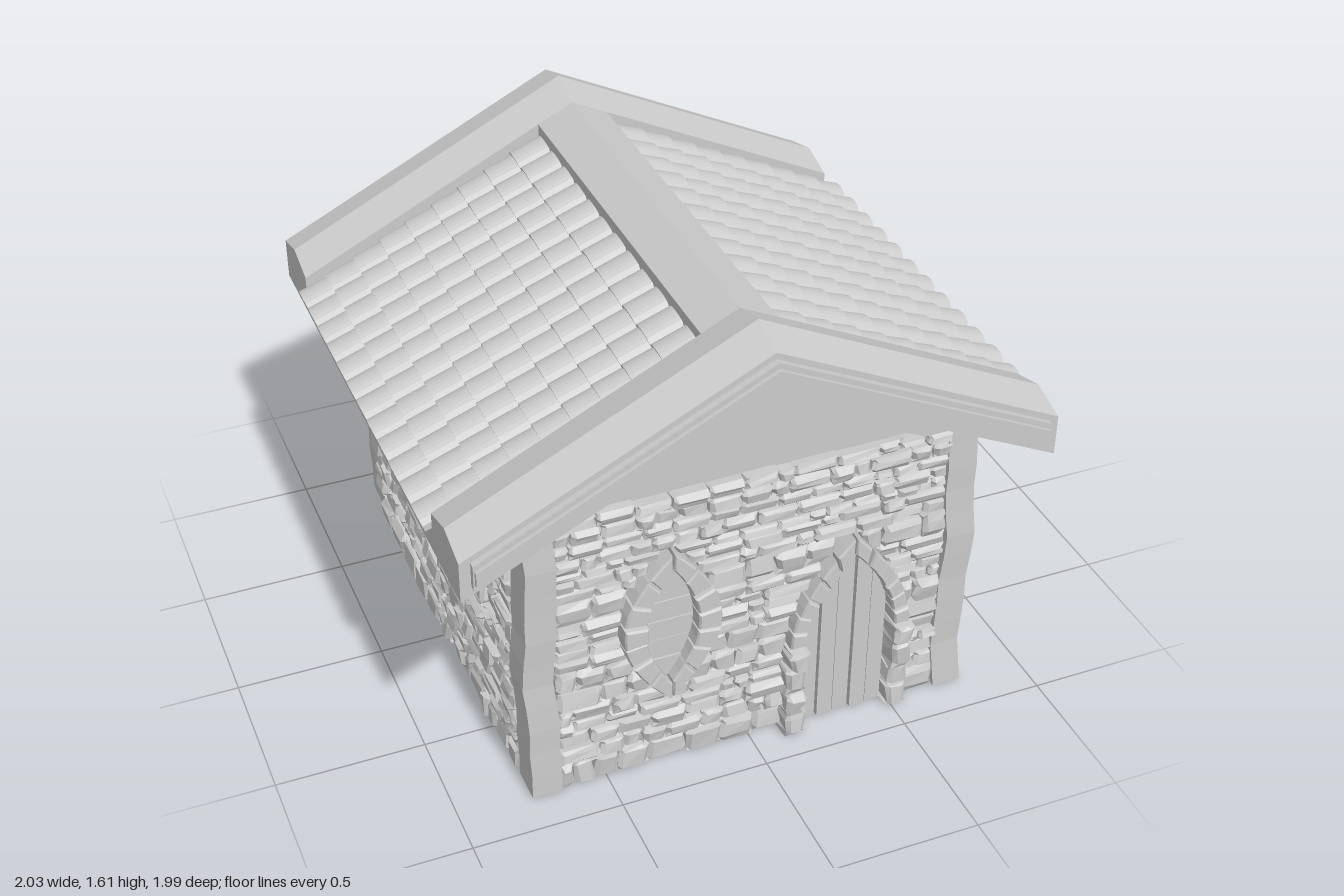
import * as THREE from 'three';
import { mergeGeometries } from 'three/addons/utils/BufferGeometryUtils.js';

const flat = new THREE.MeshStandardMaterial({ color: 0xcccccc, flatShading: true });
const smooth = new THREE.MeshStandardMaterial({ color: 0xcccccc });
const SLOPE = 0.49;

let seed = 7;
const rand = (a = 0, b = 1) => {
  seed = (seed * 16807) % 2147483647;
  return a + (b - a) * (seed / 2147483647);
};

function add(parent, name, geo, mat = flat) {
  const m = new THREE.Mesh(geo, mat);
  m.name = name;
  parent.add(m);
  return m;
}

const poly = pts => new THREE.Shape(pts.map(p => new THREE.Vector2(p[0], p[1])));

function extrude(pts, z0, z1, opts = {}) {
  const g = new THREE.ExtrudeGeometry(poly(pts), { depth: z1 - z0, bevelEnabled: false, ...opts });
  return g.translate(0, 0, z0);
}

// Inverted V band between two heights at the ridge
const chevron = (half, low, high) => [
  [-half, low - SLOPE * half], [0, low], [half, low - SLOPE * half],
  [half, high - SLOPE * half], [0, high], [-half, high - SLOPE * half]];

// Rough block: chamfered front, irregular corners
function stone(x0, x1, y0, y1, z0, z1) {
  const g = new THREE.BoxGeometry(1, 1, 1, 3, 3, 1), p = g.attributes.position;
  const w = x1 - x0, h = y1 - y0, bevel = Math.min(0.014, w * 0.25, h * 0.25);
  const k = rand(0, 50), j = Math.min(0.007, h * 0.1);
  for (let i = 0; i < p.count; i++) {
    const a = p.getX(i), b = p.getY(i), c = p.getZ(i);
    const n = s => Math.sin(a * 17 + b * 29 + c * 11 + k * s);
    const edge = Math.abs(a) > 0.4 || Math.abs(b) > 0.4;
    const place = (t, lo, hi) => Math.abs(t) > 0.4 ? (t < 0 ? lo : hi) : (t < 0 ? lo + bevel : hi - bevel);
    p.setXYZ(i, place(a, x0, x1) + n(3) * j, place(b, y0, y1) + n(5) * j,
      c < 0 ? z0 : z1 - (edge ? 0.013 : 0) + n(7) * 0.004);
  }
  return g;
}

// Coursed masonry from u0 to u1, leaving out the blocked intervals of each row
function masonry(u0, u1, top, zBack, zFace, blocked = () => []) {
  const out = [];
  for (let y = 0.012; y < top - 0.015;) {
    let h = y < 0.02 ? 0.09 : rand(0.034, 0.082);
    if (top - y - h < 0.03) h = top - y;
    let start = u0;
    const holes = blocked(y + h / 2).sort((a, b) => a[0] - b[0]);
    for (const [a, b] of [...holes, [u1, u1]]) {
      for (let x = start; x < a - 0.012;) {
        let w = rand(0.05, 0.15);
        if (a - x - w < 0.04) w = a - x;
        out.push(stone(x + 0.002, x + w - 0.002, y + 0.002, y + h - 0.002, zBack, zFace + rand(-0.014, 0.008)));
        x += w;
      }
      start = Math.max(start, b);
    }
    y += h;
  }
  return mergeGeometries(out);
}

// Pointed-arch edge: point at height fraction s, on side d
const arc = (cx, cy, w, h, s, d) => [cx + d * w * (1 - s * s), cy + h * s];

// Wedge stones between an inner and an outer pointed arch
function voussoirs(cx, cy, inner, outer, s0, n, z0, z1) {
  const out = [];
  for (const d of [-1, 1]) for (let i = 0; i < n; i++) {
    const a = s0 + (1 - s0) * (i + 0.04) / n, b = s0 + (1 - s0) * (i + 0.96) / n;
    const at = (e, s) => arc(cx, cy, e[0], e[1], s, d);
    const pts = [at(inner, a), at(outer, a), at(outer, (a + b) / 2), at(outer, b), at(inner, b), at(inner, (a + b) / 2)];
    out.push(extrude(pts, z0, z1 + rand(-0.008, 0.006),
      { bevelEnabled: true, bevelSegments: 1, bevelSize: 0.005, bevelOffset: -0.006, bevelThickness: 0.008 }));
  }
  return mergeGeometries(out);
}

function buildWalls(root) {
  // Solid core with both gables
  add(root, 'wallCore', extrude([[-0.74, 0.008], [0.74, 0.008], [0.74, 1.06], [0, 1.425], [-0.74, 1.06]], -0.885, 0.82));

  // Front masonry leaves room for the oval window and the door
  const front = y => {
    const holes = [], s = (y - 0.59) / 0.29, t = Math.max(0, (y - 0.36) / 0.39);
    if (Math.abs(s) < 1) holes.push([-0.29 - 0.155 * (1 - s * s), -0.29 + 0.155 * (1 - s * s)]);
    if (t < 1) holes.push([0.33 - 0.2 * (1 - t * t), 0.33 + 0.2 * (1 - t * t)]);
    return holes;
  };
  add(root, 'frontStones', masonry(-0.665, 0.67, 1.06, 0.8, 0.868, front));
  add(root, 'backStones', masonry(-0.665, 0.665, 1.06, 0.86, 0.925)).rotation.y = Math.PI;

  // Side masonry with a boarded window on each side
  for (const d of [1, -1]) {
    const side = new THREE.Group();
    side.name = d > 0 ? 'leftWall' : 'rightWall';
    side.rotation.y = d * Math.PI / 2;
    const u = (a, b) => d > 0 ? [a, b] : [-b, -a];
    const [w0, w1] = u(-0.19, 0.23), [s0, s1] = u(-0.745, 0.805);
    add(side, 'sideStones', masonry(s0, s1, 1.05, 0.7, 0.777, y => y > 0.42 && y < 0.67 ? [[w0, w1]] : []));
    const boards = [];
    for (let i = 0; i < 4; i++) {
      const y = 0.415 + i * 0.064;
      boards.push(new THREE.BoxGeometry(w1 - w0 - rand(0, 0.04), 0.06, 0.06).translate((w0 + w1) / 2, y + 0.03, 0.733 + rand(0, 0.008)));
    }
    add(side, 'windowBoards', mergeGeometries(boards));
    root.add(side);
  }

  // Uneven corner posts
  for (const sx of [-1, 1]) for (const [z0, z1] of [[0.742, 0.868], [-0.922, -0.8]]) {
    const g = new THREE.BoxGeometry(0.1, 1.08, z1 - z0, 1, 12, 1), p = g.attributes.position;
    for (let i = 0; i < p.count; i++) {
      const y = p.getY(i), wave = 0.007 * Math.sin(y * 9 + sx) + 0.004 * Math.sin(y * 21);
      p.setX(i, p.getX(i) + wave);
      p.setZ(i, p.getZ(i) + wave * 0.5);
    }
    add(root, 'cornerPost', g.translate(sx * 0.713, 0.548, (z0 + z1) / 2));
  }

  // Raised gable frames
  const frame = [[-0.72, 1.06], [-0.57, 1.06], [0, 1.33], [0.57, 1.06], [0.72, 1.06], [0, 1.415]];
  add(root, 'frontGableFrame', extrude(frame, 0.8, 0.862));
  add(root, 'backGableFrame', extrude(frame, -0.922, -0.87));
}

function buildOpenings(root) {
  // Pointed oval window with horizontal boards
  add(root, 'windowSurround', voussoirs(-0.29, 0.59, [0.085, 0.225], [0.165, 0.29], -1, 7, 0.8, 0.902));
  const boards = [];
  for (let i = 0; i < 6; i++) {
    const s0 = -0.98 + i * 0.327, s1 = s0 + 0.31;
    const at = (s, d) => arc(-0.29, 0.59, 0.1, 0.23, s, d), m = (s0 + s1) / 2;
    boards.push(extrude([at(s0, -1), at(s0, 1), at(m, 1), at(s1, 1), at(s1, -1), at(m, -1)], 0.8, 0.85 + rand(0, 0.008)));
  }
  add(root, 'windowBoards', mergeGeometries(boards));

  // Pointed door of vertical planks
  const planks = [], n = 5, topAt = x => 0.37 + 0.32 * Math.sqrt(Math.max(0, 1 - Math.abs(x) / 0.155));
  for (let i = 0; i < n; i++) {
    const a = -0.15 + i * 0.06 + 0.003, b = a + 0.054, pts = [[0.33 + a, 0.01], [0.33 + b, 0.01]];
    for (let k = 4; k >= 0; k--) {
      const x = a + (b - a) * k / 4;
      pts.push([0.33 + x, topAt(x)]);
    }
    planks.push(extrude(pts, 0.8, 0.852 + (i % 2) * 0.008));
  }
  add(root, 'doorPlanks', mergeGeometries(planks));
  add(root, 'doorArch', voussoirs(0.33, 0.36, [0.155, 0.33], [0.21, 0.4], 0, 6, 0.8, 0.9));

  // Heavy jamb stones
  const jambs = [];
  for (const d of [-1, 1]) [0.01, 0.1, 0.18, 0.29, 0.365].forEach((y, i, ys) => {
    if (i === ys.length - 1) return;
    const cx = 0.33 + d * (0.185 + rand(-0.004, 0.006)), w = 0.033;
    jambs.push(stone(cx - w, cx + w, y, ys[i + 1] - 0.004, 0.8, i === 3 ? 0.94 : rand(0.9, 0.925)));
  });
  add(root, 'doorJambs', mergeGeometries(jambs));
}

function buildRoof(root) {
  const roof = new THREE.Group();
  roof.name = 'roof';
  root.add(roof);
  add(roof, 'roofDeck', extrude(chevron(0.98, 1.43, 1.515), -0.73, 0.71));
  add(roof, 'ridgeCap', extrude(chevron(0.125, 1.46, 1.572), -0.73, 0.71));

  // Gable rims, peaked along their middle
  for (const [z0, z1] of [[0.7, 0.96], [-0.99, -0.72]]) {
    const g = extrude(chevron(0.98, 1.43, 1.572), z0, z1, { steps: 2 }), p = g.attributes.position;
    for (let i = 0; i < p.count; i++) {
      const isTop = p.getY(i) + SLOPE * Math.abs(p.getX(i)) > 1.5;
      if (isTop && Math.abs(p.getZ(i) - (z0 + z1) / 2) < 0.01) p.setY(i, p.getY(i) + 0.038);
    }
    g.computeVertexNormals();
    add(roof, 'gableRim', g);
  }

  // Stepped moulding on the front
  add(roof, 'frontMoulding', extrude(chevron(0.945, 1.465, 1.55), 0.95, 0.982));
  add(roof, 'frontMouldingBand', extrude(chevron(0.94, 1.48, 1.53), 0.97, 0.996));

  // Curved tiles, each lower edge lapping over the next row
  const rows = 9, cols = 12, pitch = 0.1175, angle = Math.atan(SLOPE), step = 0.0965;
  const section = [];
  for (let i = 0; i <= 8; i++) {
    const t = -1 + i / 4;
    section.push([t * pitch * 0.49, 0.036 * Math.sqrt(1 - 0.93 * t * t)]);
  }
  section.push([pitch * 0.49, -0.012], [-pitch * 0.49, -0.012]);
  const tile = extrude(section.reverse(), 0, step / Math.cos(angle) + 0.012).rotateY(Math.PI / 2).rotateZ(0.1 - angle);
  for (const d of [1, -1]) {
    const tiles = [];
    for (let r = 0; r < rows; r++) for (let c = 0; c < cols; c++) {
      const x = 0.118 + r * step;
      tiles.push(tile.clone().translate(x, 1.51 - SLOPE * x + rand(-0.002, 0.002), -0.66 + c * pitch));
    }
    const g = mergeGeometries(tiles);
    if (d < 0) g.rotateY(Math.PI).translate(0, 0, -0.028);
    add(roof, d > 0 ? 'leftTiles' : 'rightTiles', g, smooth);
  }
}

export function createModel() {
  const root = new THREE.Group();
  root.name = 'stoneCottage';
  buildWalls(root);
  buildOpenings(root);
  buildRoof(root);
  return root;
}
